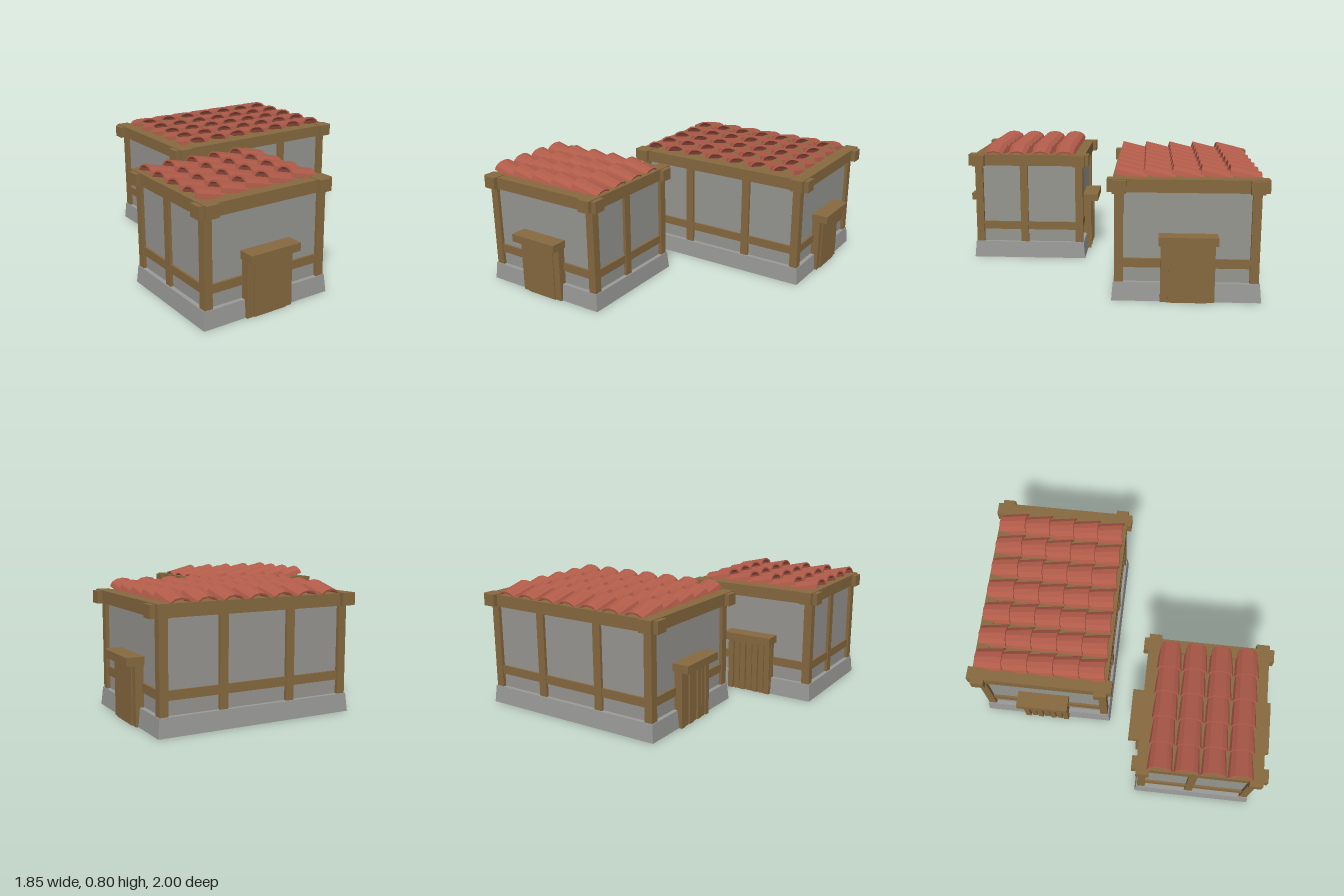
import * as THREE from 'three';

const mat = (name, color) => Object.assign(new THREE.MeshStandardMaterial({ color }), { name });

export function createModel() {
  const wood = mat('wood', 0x86693f);
  const clay = mat('clay', 0xb05b49);
  const plaster = mat('plaster', 0x969590);
  const stone = mat('stone', 0x999997);

  // Box given by its min and max on each axis
  function box(parent, name, material, x0, x1, y0, y1, z0, z1) {
    const m = new THREE.Mesh(new THREE.BoxGeometry(x1 - x0, y1 - y0, z1 - z0), material);
    m.position.set((x0 + x1) / 2, (y0 + y1) / 2, (z0 + z1) / 2);
    m.name = name;
    parent.add(m);
    return m;
  }

  // Hollow half-barrel tile: raised end at z = 0, running back along -z
  function tileGeometry(length) {
    const n = 6, w = 0.079, h = 0.052, t = 0.011;
    const arc = (rx, ry) => Array.from({ length: n + 1 }, (_, i) => {
      const a = Math.PI * i / n;
      return new THREE.Vector2(rx * Math.cos(a), ry * Math.sin(a));
    });
    const shape = new THREE.Shape([...arc(w, h), ...arc(w - t, h - t).reverse()]);
    const g = new THREE.ExtrudeGeometry(shape, { depth: length, bevelEnabled: false });
    g.translate(0, 0, -length);
    const p = g.attributes.position;
    for (let i = 0; i < p.count; i++) {
      if (p.getZ(i) < -length / 2) p.setX(i, p.getX(i) * 0.9);
    }
    g.rotateX(-0.24);
    g.computeVertexNormals();
    return g;
  }

  // Rows of overlapping tiles; local z is the tile direction
  function tiles(columns, pitch, length) {
    const roof = new THREE.Group();
    roof.name = 'roofTiles';
    const geo = tileGeometry(length);
    for (let c = 0; c < columns; c++) {
      for (let r = 0; r < 5; r++) {
        const m = new THREE.Mesh(geo, clay);
        m.name = 'roofTile';
        m.position.set((c - (columns - 1) / 2) * 0.165, 0.753, -r * pitch);
        roof.add(m);
      }
    }
    return roof;
  }

  // Door facing +z, its back on the plane z = 0
  function door(planked) {
    const d = new THREE.Group();
    d.name = 'door';
    box(d, 'lintel', wood, -0.173, 0.173, 0.358, 0.408, -0.02, 0.089);
    if (planked) {
      box(d, 'doorBacking', wood, -0.155, 0.155, 0, 0.36, -0.02, 0.018);
      const depths = [0.038, 0.032, 0.037, 0.03, 0.036, 0.033, 0.038];
      depths.forEach((z, i) => {
        const x = -0.16 + i * 0.32 / 7;
        box(d, 'doorPlank', wood, x, x + 0.037, 0, 0.36, 0, z);
      });
    } else {
      box(d, 'doorPanel', wood, -0.113, 0.113, 0, 0.36, -0.02, 0.038);
      for (const s of [-1, 1]) {
        const a = s * 0.113, b = s * 0.16;
        box(d, 'doorJamb', wood, Math.min(a, b), Math.max(a, b), 0, 0.36, -0.02, 0.031);
      }
    }
    return d;
  }

  // Timber-framed house; extents are the outer faces of the corner posts
  function house(name, x0, x1, z0, z1, ox, oz) {
    const g = new THREE.Group();
    g.name = name;
    const cx = (x0 + x1) / 2, cz = (z0 + z1) / 2, W = x1 - x0, D = z1 - z0;

    // Tapered stone base
    const base = box(g, 'stoneBase', stone, x0 - 0.016, x1 + 0.016, 0, 0.112, z0 - 0.016, z1 + 0.016);
    const p = base.geometry.attributes.position;
    for (let i = 0; i < p.count; i++) {
      if (p.getY(i) > 0) {
        p.setX(i, p.getX(i) - Math.sign(p.getX(i)) * 0.01);
        p.setZ(i, p.getZ(i) - Math.sign(p.getZ(i)) * 0.01);
      }
    }
    base.geometry.computeVertexNormals();

    box(g, 'walls', plaster, x0 + 0.022, x1 - 0.022, 0.1, 0.7, z0 + 0.022, z1 - 0.022);
    box(g, 'roofDeck', wood, x0 + 0.02, x1 - 0.02, 0.7, 0.722, z0 + 0.02, z1 - 0.02);

    // Corner posts
    for (const x of [x0, x1 - 0.053]) {
      for (const z of [z0, z1 - 0.053]) {
        box(g, 'cornerPost', wood, x, x + 0.053, 0.11, 0.68, z, z + 0.053);
      }
    }
    // Rails and top beams, on both sides of each axis
    const bx = x0 - ox, bX = x1 + ox, bz = z0 - oz, bZ = z1 + oz, t = 0.083;
    for (const s of [0, 1]) {
      const rz = s ? z1 - 0.04 : z0 + 0.008, rx = s ? x1 - 0.04 : x0 + 0.008;
      box(g, 'railAcross', wood, x0 + 0.03, x1 - 0.03, 0.2, 0.255, rz, rz + 0.032);
      box(g, 'railAlong', wood, rx, rx + 0.032, 0.2, 0.255, z0 + 0.03, z1 - 0.03);
      const tz = s ? bZ - t : bz, tx = s ? bX - t : bx;
      box(g, 'topBeamAcross', wood, bx - 0.03, bX + 0.03, 0.655, 0.731, tz, tz + t);
      box(g, 'topBeamAlong', wood, tx, tx + t, 0.658, 0.735, bz - 0.03, bZ + 0.03);
    }
    return { g, cx, cz, W, D };
  }

  const model = new THREE.Group();
  model.name = 'houses';

  // Large house at the back: wall posts front and back, doors at both ends
  const A = house('largeHouse', -0.41, 0.83, -0.957, -0.105, 0.026, 0.012);
  for (const x of [-0.0125, 0.43]) {
    box(A.g, 'wallPost', wood, x - 0.027, x + 0.027, 0.11, 0.68, -0.145, -0.108);
    box(A.g, 'wallPost', wood, x - 0.027, x + 0.027, 0.11, 0.68, -0.954, -0.917);
  }
  for (const s of [-1, 1]) {
    const d = door(s < 0);
    d.rotation.y = s * Math.PI / 2;
    d.position.set(A.cx + s * A.W / 2, 0, -0.538);
    A.g.add(d);
  }
  const roofA = tiles(7, 0.166, 0.187);
  roofA.position.set(0.204, 0, -0.107);
  A.g.add(roofA);

  // Small house at the front: wall posts at the sides, doors front and back
  const B = house('smallHouse', -0.89, -0.04, 0.156, 0.912, 0.007, 0.013);
  box(B.g, 'wallPost', wood, -0.08, -0.043, 0.11, 0.68, 0.543, 0.597);
  box(B.g, 'wallPost', wood, -0.887, -0.85, 0.11, 0.68, 0.48, 0.534);
  for (const s of [-1, 1]) {
    const d = door(s < 0);
    d.rotation.y = s < 0 ? Math.PI : 0;
    d.position.set(B.cx, 0, B.cz + s * B.D / 2);
    B.g.add(d);
  }
  const roofB = tiles(4, 0.1625, 0.192);
  roofB.rotation.y = -Math.PI / 2;
  roofB.position.set(-0.897, 0, 0.535);
  B.g.add(roofB);

  model.add(A.g, B.g);
  return model;
}
